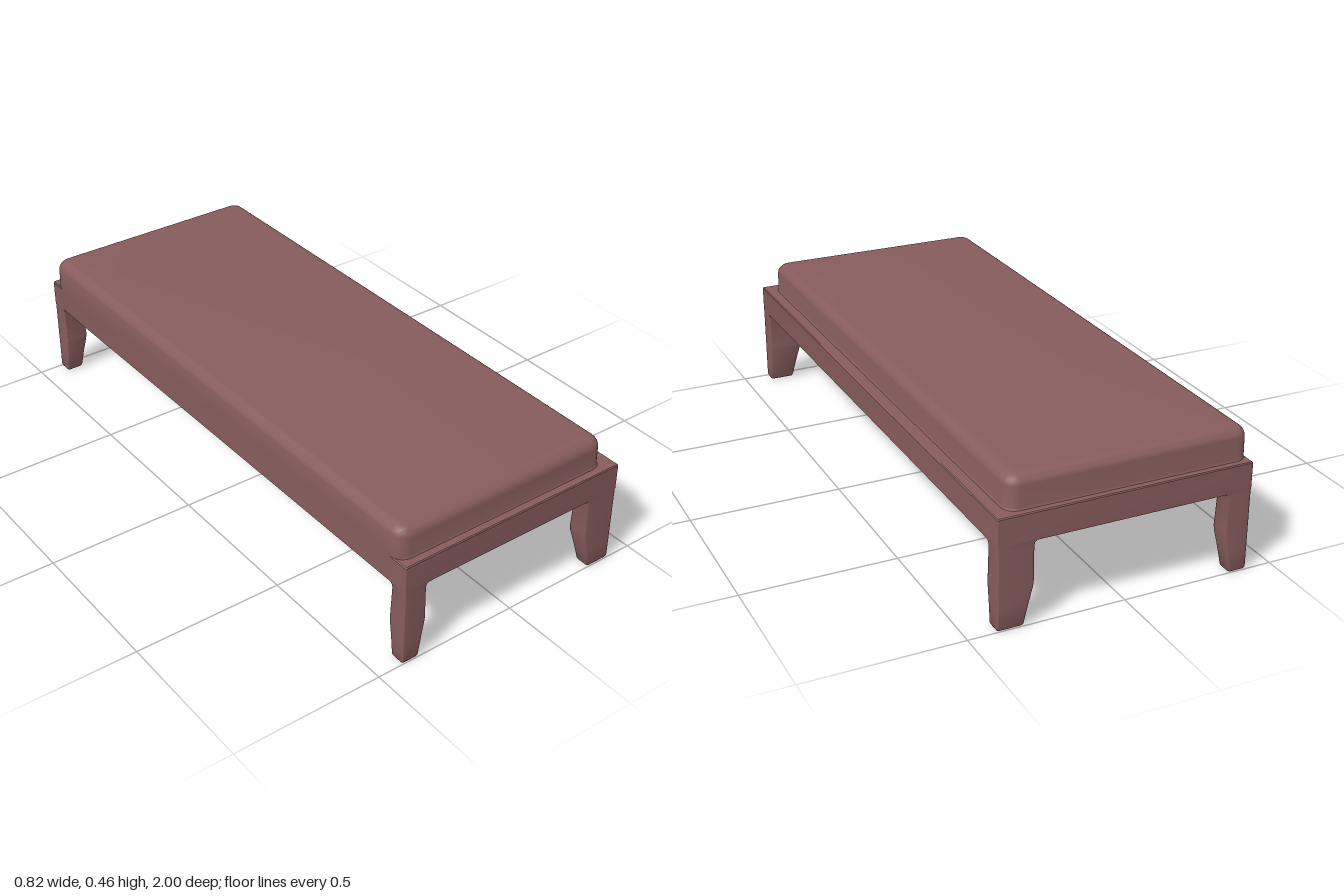
import * as THREE from 'three';
import { toCreasedNormals } from 'three/addons/utils/BufferGeometryUtils.js';

const material = new THREE.MeshStandardMaterial({ color: 0x875c5c });
const ARC = 6; // segments per rounded corner

// Solid through rounded rectangles stacked upward: [y, x0, x1, z0, z1, cornerRadius]
function loft(name, sections) {
  const pos = [], index = [], n = 4 * (ARC + 1);
  for (const [y, x0, x1, z0, z1, r] of sections) {
    const centres = [[x1 - r, z1 - r], [x0 + r, z1 - r], [x0 + r, z0 + r], [x1 - r, z0 + r]];
    centres.forEach(([cx, cz], q) => {
      for (let i = 0; i <= ARC; i++) {
        const a = (q + i / ARC) * Math.PI / 2;
        pos.push(cx + r * Math.cos(a), y, cz + r * Math.sin(a));
      }
    });
  }
  for (let s = 0; s < sections.length - 1; s++) {
    for (let i = 0; i < n; i++) {
      const a = s * n + i, b = s * n + (i + 1) % n;
      index.push(a, a + n, b, b, a + n, b + n);
    }
  }
  // flat caps
  const top = (sections.length - 1) * n;
  for (let i = 1; i < n - 1; i++) {
    index.push(0, i, i + 1, top, top + i + 1, top + i);
  }
  const geo = new THREE.BufferGeometry();
  geo.setAttribute('position', new THREE.Float32BufferAttribute(pos, 3));
  geo.setIndex(index);
  const mesh = new THREE.Mesh(toCreasedNormals(geo, 0.6), material);
  mesh.name = name;
  return mesh;
}

export function createModel() {
  const group = new THREE.Group();
  group.name = 'daybed';
  const X0 = -0.415, X1 = 0.41;

  // Frame: a solid slab with slightly softened edges
  group.add(loft('frame', [
    [0.267, X0, X1, -1, 1, 0.004],
    [0.353, X0, X1, -1, 1, 0.004],
    [0.356, X0 + 0.003, X1 - 0.003, -0.997, 0.997, 0.004],
  ]));

  // Mattress: flush with the frame at -x, rounded over at the top
  const M = [X0, 0.368, -0.975, 0.97], R = 0.038, TOP = 0.459;
  const ring = (y, d, r) => [y, M[0] + d, M[1] - d, M[2] + d, M[3] - d, r];
  const mattress = [
    [0.352, M[0], M[1] + 0.006, M[2] - 0.006, M[3] + 0.006, 0.046],
    [0.358, M[0], M[1] + 0.002, M[2] - 0.002, M[3] + 0.002, 0.042],
    ring(0.364, 0, 0.04),
  ];
  for (let i = 0; i <= 8; i++) {
    const a = i / 8 * Math.PI / 2, d = R * (1 - Math.cos(a));
    mattress.push(ring(TOP - R + R * Math.sin(a), d, 0.042 - d * 0.8));
  }
  group.add(loft('mattress', mattress));

  // Legs: [y, inner edge at -x, inner edge at +x, inner edge in z, rounding of the foot]
  const profile = [
    [0.000, -0.362, 0.333, 0.957, 0.007],
    [0.002, -0.357, 0.327, 0.952, 0.003],
    [0.008, -0.354, 0.324, 0.949, 0],
    [0.070, -0.344, 0.309, 0.942, 0],
    [0.120, -0.335, 0.296, 0.935, 0],
    [0.138, -0.333, 0.294, 0.934, 0],
    [0.250, -0.335, 0.294, 0.940, 0],
    [0.260, -0.332, 0.291, 0.937, 0],
    [0.265, -0.327, 0.286, 0.932, 0],
    [0.269, -0.317, 0.276, 0.924, 0],
  ];
  for (const front of [true, false]) {
    for (const left of [true, false]) {
      const sections = profile.map(([y, inR, inL, inZ, e]) => [
        y,
        left ? inL : X0 + e, left ? X1 - e : inR,
        front ? inZ : -1 + e, front ? 1 - e : -inZ,
        0.007,
      ]);
      group.add(loft((front ? 'front' : 'back') + (left ? 'Left' : 'Right') + 'Leg', sections));
    }
  }
  return group;
}
